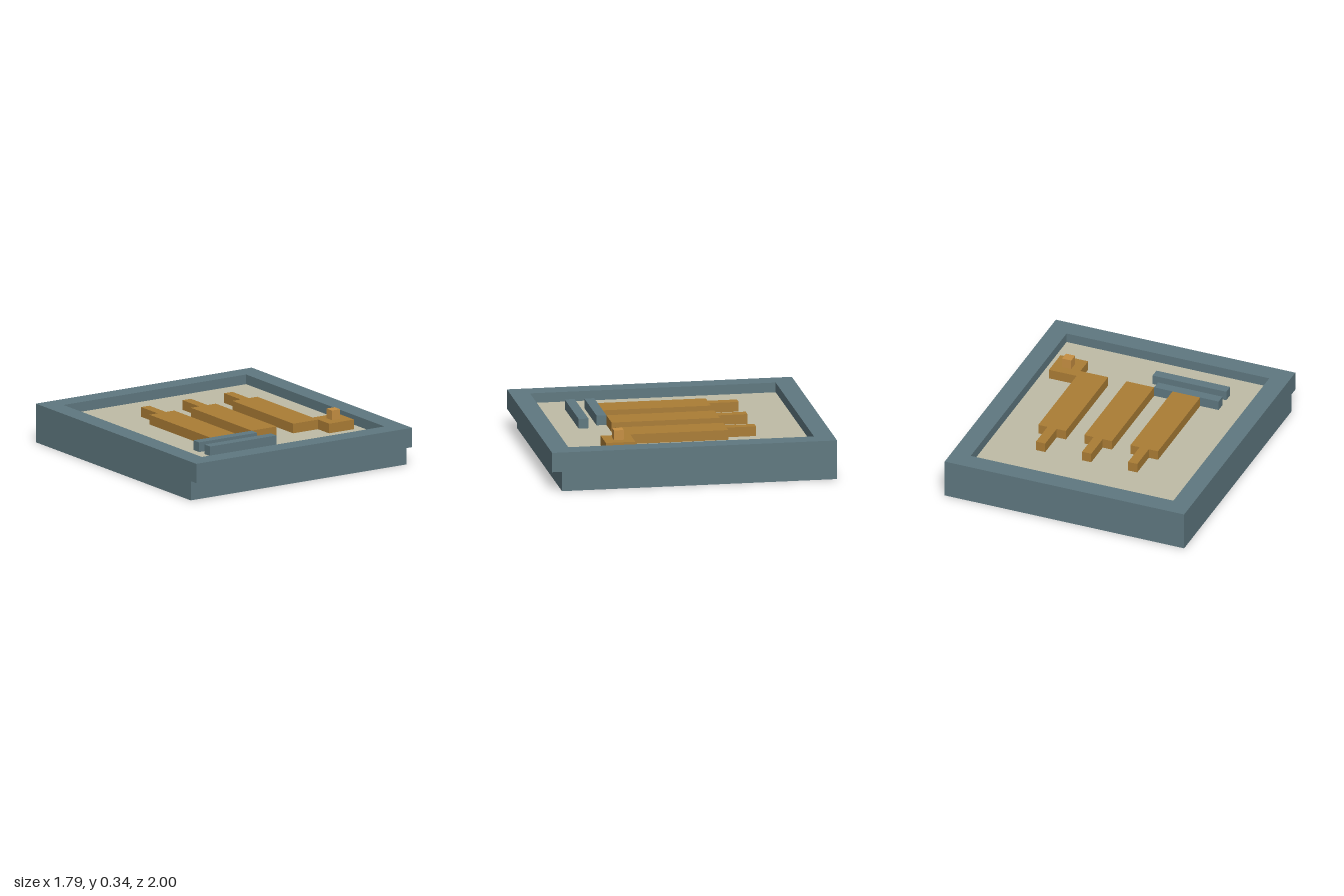
import * as THREE from 'three';

const U = 2 / 29; // block unit: the tray is 26 x 29 units

const paint = (color) => new THREE.MeshStandardMaterial({ color, flatShading: true });

export function createModel() {
  const group = new THREE.Group();
  const slate = paint(0x5f7880);
  const sand = paint(0xbfbca6);
  const wood = paint(0xab7d35);
  const amber = paint(0xc68f42);

  // Box spanning [x0,x1] x [y0,y1] x [z0,z1], in block units
  function block(name, material, [x0, x1], [y0, y1], [z0, z1], parent = group) {
    const geometry = new THREE.BoxGeometry((x1 - x0) * U, (y1 - y0) * U, (z1 - z0) * U);
    const mesh = new THREE.Mesh(geometry, material);
    mesh.position.set((x0 + x1) / 2 * U, (y0 + y1) / 2 * U, (z0 + z1) / 2 * U);
    mesh.name = name;
    parent.add(mesh);
    return mesh;
  }

  // Base, set back one unit at the front
  block('base', slate, [-13, 13], [0, 2], [-14.5, 13.5]);

  // Rim frame around the recessed panel
  const rect = (target, w, d) => target
    .moveTo(-w * U, -d * U).lineTo(w * U, -d * U)
    .lineTo(w * U, d * U).lineTo(-w * U, d * U).closePath();
  const outline = rect(new THREE.Shape(), 13, 14.5);
  outline.holes.push(rect(new THREE.Path(), 11, 12.5));
  const rimGeometry = new THREE.ExtrudeGeometry(outline, { depth: 2 * U, bevelEnabled: false });
  rimGeometry.rotateX(-Math.PI / 2);
  const rim = new THREE.Mesh(rimGeometry, slate);
  rim.position.y = 2 * U;
  rim.name = 'rim';
  group.add(rim);

  // Panel, one unit below the rim
  block('panel', sand, [-11, 11], [2, 3], [-12.5, 12.5]);

  // Three bars, each with a narrow tip toward the back
  [-6, -1, 4].forEach((x, i) => {
    const bar = new THREE.Group();
    bar.name = `bar${i + 1}`;
    block('barBody', wood, [x, x + 3], [3, 4], [-4.5, 6.5], bar);
    block('barTip', wood, [x + 1, x + 2], [3, 4], [-7.5, -4.5], bar);
    group.add(bar);
  });

  // Square pad with a raised knob
  block('pad', wood, [7, 10], [3, 4], [5.5, 8.5]);
  block('knob', amber, [8, 9], [4, 5], [6.5, 7.5]);

  // Two slats near the front
  block('shortSlat', slate, [-8, -1], [3, 4], [6.5, 7.5]);
  block('longSlat', slate, [-8, 0], [3, 4], [8.5, 9.5]);

  return group;
}
